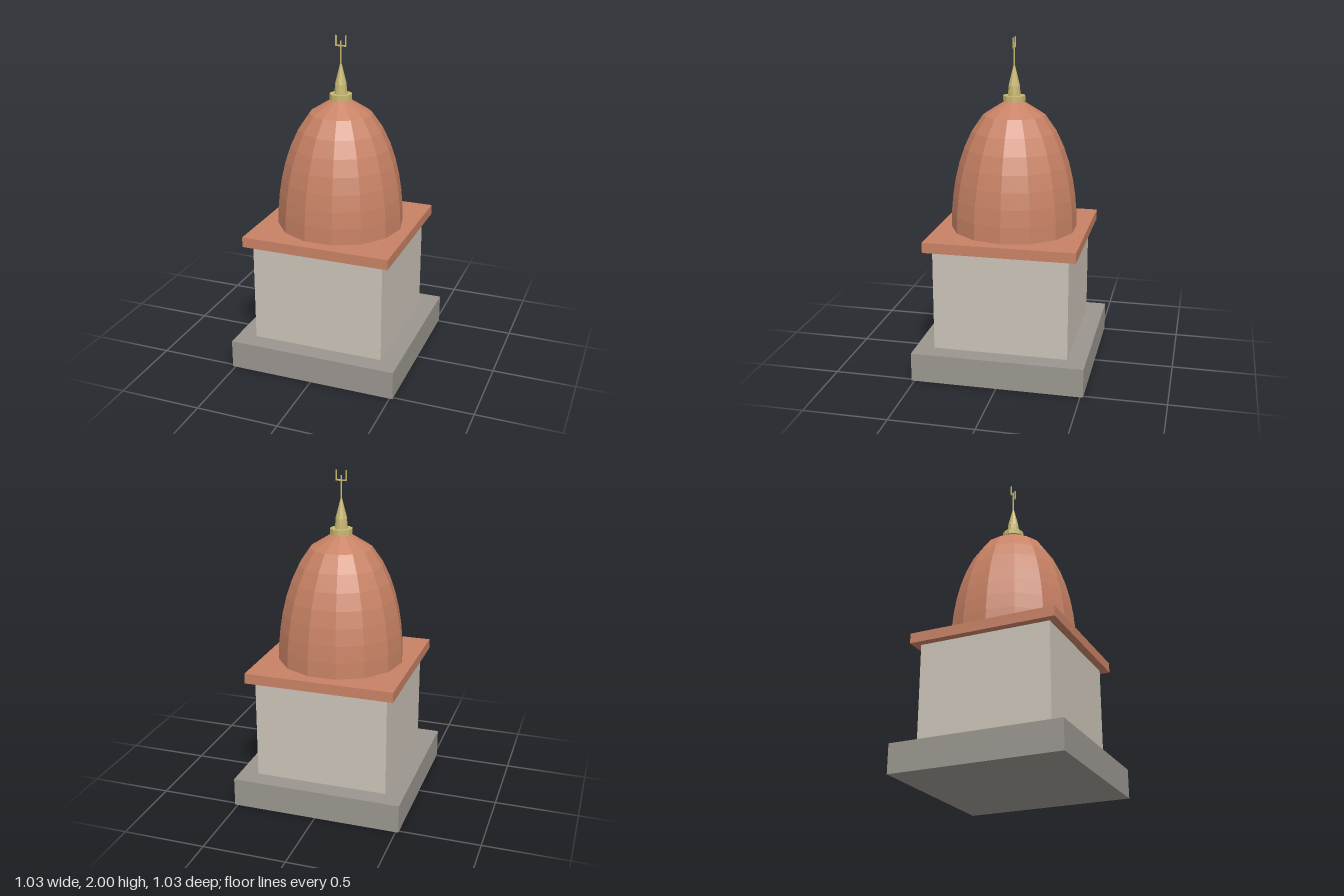
import * as THREE from 'three';

export function createModel() {
  const model = new THREE.Group();
  model.name = 'domedShrine';

  const material = (name, color) => {
    const m = new THREE.MeshStandardMaterial({ color, flatShading: true });
    m.name = name;
    return m;
  };
  const stone = material('grey stone', 0x9b968f);
  const plaster = material('pale plaster', 0xcbc3b8);
  const terracotta = material('terracotta', 0xc88265);
  const gold = material('gold', 0xc8b870);

  const add = (name, geometry, mat, x = 0, y = 0, z = 0, parent = model) => {
    const mesh = new THREE.Mesh(geometry, mat);
    mesh.name = name;
    mesh.position.set(x, y, z);
    parent.add(mesh);
    return mesh;
  };
  // Square block between two heights
  const block = (name, size, y0, y1, mat) =>
    add(name, new THREE.BoxGeometry(size, y1 - y0, size), mat, 0, (y0 + y1) / 2);

  block('plinth', 1.035, 0, 0.175, stone);
  block('walls', 0.81, 0.175, 0.79, plaster);
  block('cornice', 0.905, 0.79, 0.852, terracotta);

  // Fourteen-sided dome with an elliptical profile in equal height steps
  const profile = [];
  for (let i = 0; i < 8; i++) {
    const t = i / 8;
    profile.push(new THREE.Vector2(0.384 * Math.sqrt(1 - t * t), 0.852 + 0.79 * t));
  }
  profile.push(new THREE.Vector2(0.04, 1.635), new THREE.Vector2(0, 1.642));
  const dome = add('dome', new THREE.LatheGeometry(profile, 14), terracotta);
  dome.rotation.y = Math.PI / 2;

  // Finial: collar, drum, spire and rod
  const finial = new THREE.Group();
  finial.name = 'finial';
  model.add(finial);
  const turned = (name, rTop, rBottom, y0, y1, sides) =>
    add(name, new THREE.CylinderGeometry(rTop, rBottom, y1 - y0, sides), gold,
      0, (y0 + y1) / 2, 0, finial);
  turned('collar', 0.067, 0.067, 1.626, 1.658, 12);
  turned('drum', 0.034, 0.039, 1.658, 1.715, 12);
  turned('spire', 0.005, 0.035, 1.715, 1.835, 10);
  turned('rod', 0.005, 0.005, 1.83, 1.97, 6);

  // Trident bar with two outer prongs
  add('tridentBar', new THREE.BoxGeometry(0.068, 0.008, 0.008), gold, 0, 1.94, 0, finial);
  for (const side of [-1, 1]) {
    add('tridentProng', new THREE.BoxGeometry(0.008, 0.06, 0.008), gold, side * 0.03, 1.97, 0, finial);
  }

  return model;
}
